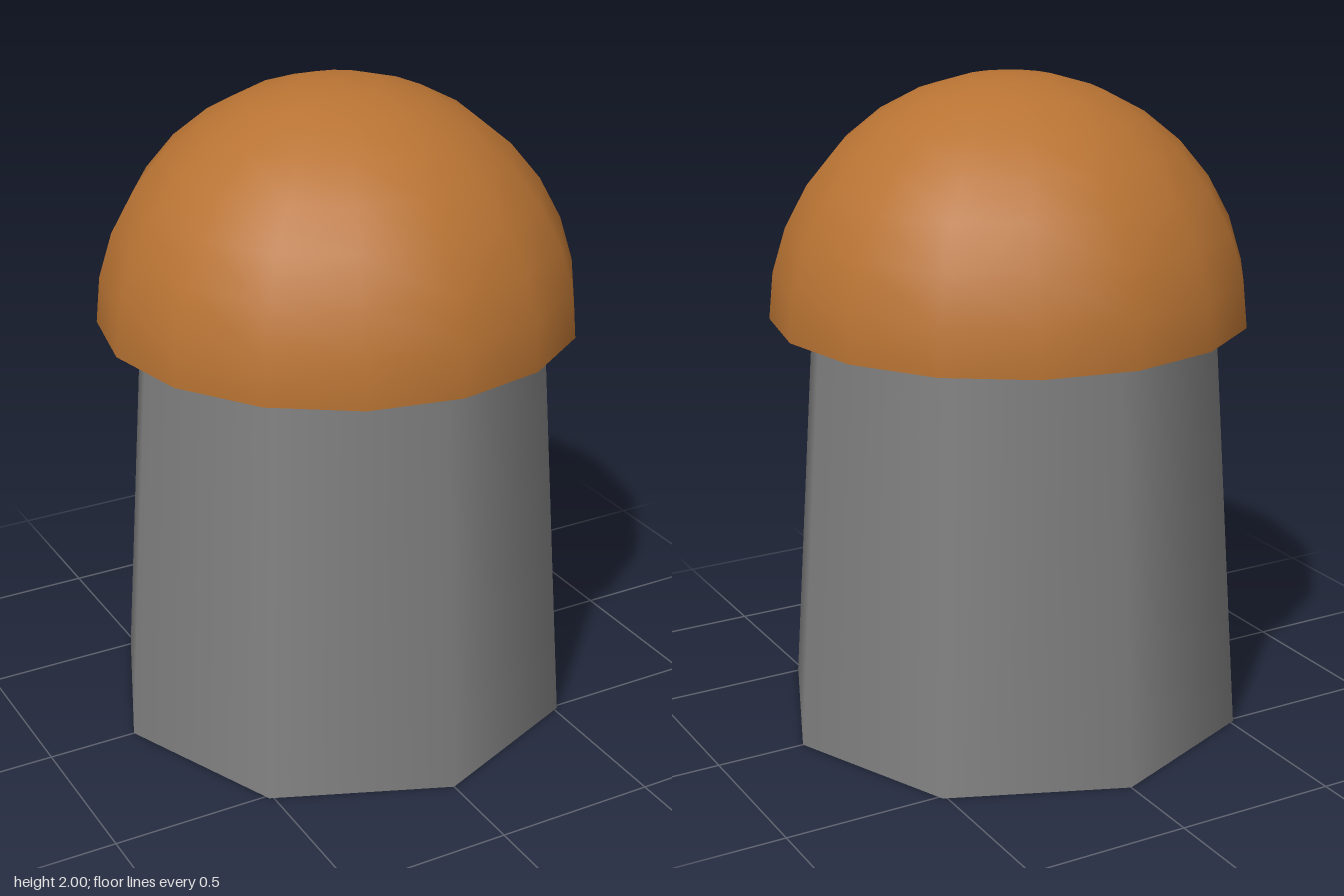
import * as THREE from 'three';

export function createModel() {
  const model = new THREE.Group();
  const radius = 0.725, wallHeight = 1.275;

  function addPart(name, geometry, color, side = THREE.FrontSide) {
    const mesh = new THREE.Mesh(geometry, new THREE.MeshStandardMaterial({ color, side }));
    mesh.name = name;
    model.add(mesh);
    return mesh;
  }

  // Tapered eight-sided tower
  addPart('tower', new THREE.CylinderGeometry(0.635, radius, wallHeight, 8), 0x808080)
    .position.y = wallHeight / 2;

  // Open hemispherical roof overhanging the tower
  addPart('dome', new THREE.SphereGeometry(radius, 16, 8, 0, Math.PI * 2, 0, Math.PI / 2),
    0xb87333, THREE.DoubleSide).position.y = wallHeight;

  // Small leaning tube sheltered under the dome
  const tube = addPart('innerTube', new THREE.CylinderGeometry(0.1, 0.1, 0.56, 8), 0xb8903a);
  tube.position.set(0, 1.52, -0.19);
  tube.rotation.x = Math.PI / 6;

  return model;
}
